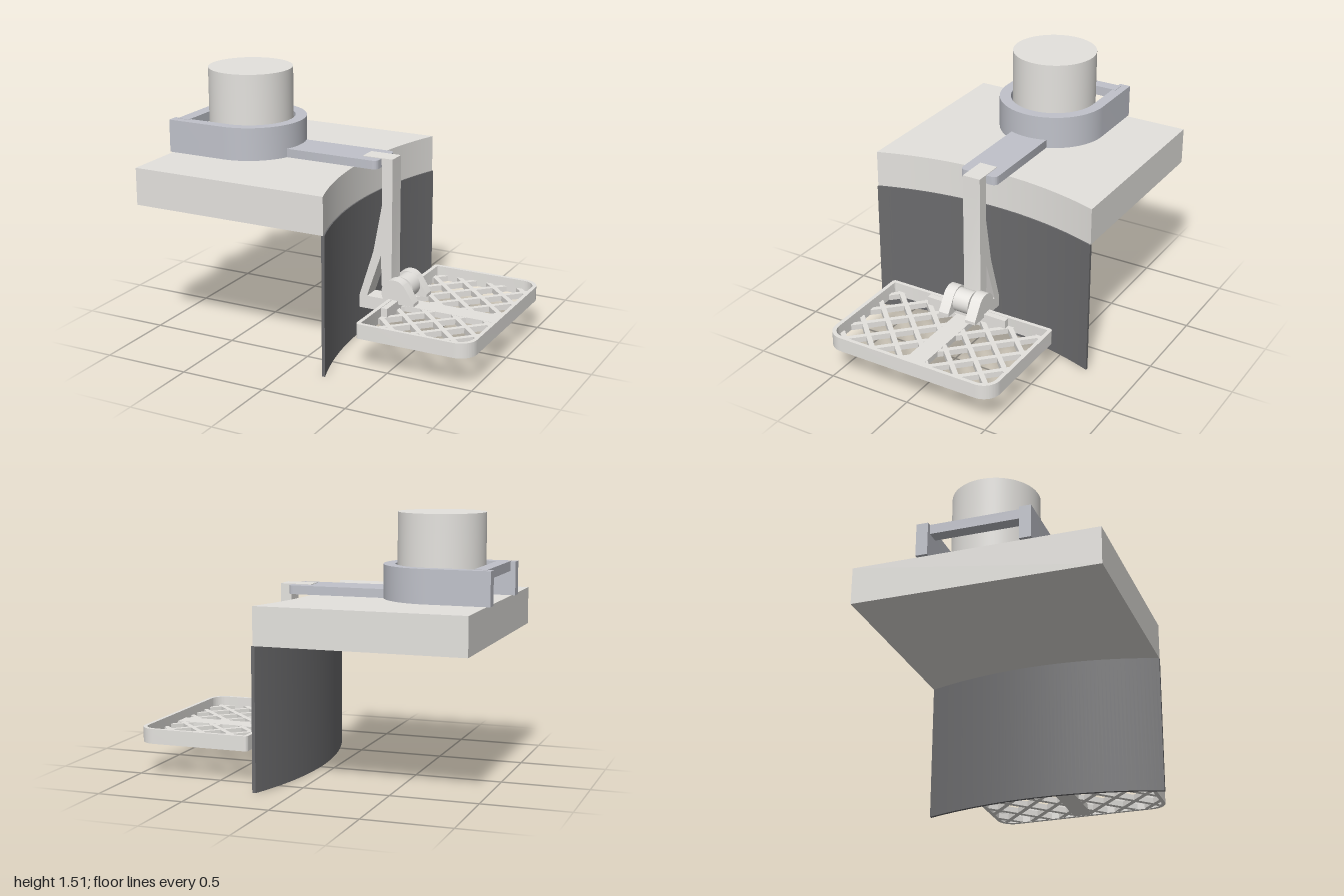
import * as THREE from 'three';
import { toCreasedNormals } from 'three/addons/utils/BufferGeometryUtils.js';

const mat = (name, color) => {
  const m = new THREE.MeshStandardMaterial({ color });
  m.name = name;
  return m;
};

export function createModel() {
  const light = mat('warm light grey', 0xe4e2de);
  const steel = mat('blue grey', 0xc0c2ca);
  const dark = mat('dark grey', 0x6b6b6d);
  const model = new THREE.Group();

  const add = (name, geo, material, parent = model) => {
    const mesh = new THREE.Mesh(geo, material);
    mesh.name = name;
    parent.add(mesh);
    return mesh;
  };
  const extrude = (shape, depth) =>
    new THREE.ExtrudeGeometry(shape, { depth, bevelEnabled: false, curveSegments: 32 });
  // plan outline raised from y0 to y1
  const plan = (shape, y0, y1) =>
    toCreasedNormals(extrude(shape, y1 - y0).rotateX(-Math.PI / 2).translate(0, y0, 0), 0.5);
  // side outline spread from z0 to z1
  const side = (shape, z0, z1) =>
    toCreasedNormals(extrude(shape, z1 - z0).translate(0, 0, z0), 0.5);
  const box = (x0, x1, y0, y1, z0, z1) =>
    new THREE.BoxGeometry(x1 - x0, y1 - y0, z1 - z0)
      .translate((x0 + x1) / 2, (y0 + y1) / 2, (z0 + z1) / 2);
  const poly = (pts) => new THREE.Shape(pts.map(([x, y]) => new THREE.Vector2(x, y)));
  // rectangle with separate corner radii on its left and right ends
  const roundRect = (x0, x1, h, rl, rr) => {
    const s = new THREE.Shape();
    s.moveTo(x0 + rl, -h);
    s.lineTo(x1 - rr, -h);
    s.absarc(x1 - rr, -h + rr, rr, -Math.PI / 2, 0, false);
    s.absarc(x1 - rr, h - rr, rr, 0, Math.PI / 2, false);
    s.absarc(x0 + rl, h - rl, rl, Math.PI / 2, Math.PI, false);
    s.absarc(x0 + rl, -h + rl, rl, Math.PI, Math.PI * 1.5, false);
    return s;
  };

  // thick slab with a concave end
  const R = 2.1, Ri = R + 0.018;
  const a = Math.asin(0.7 / R), ai = Math.asin(0.7 / Ri);
  const slab = new THREE.Shape();
  slab.moveTo(-0.98, -0.7);
  slab.lineTo(2.192 - R * Math.cos(a), -0.7);
  slab.absarc(2.192, 0, R, Math.PI + a, Math.PI - a, true);
  slab.lineTo(-0.98, 0.7);
  add('slab', plan(slab, 0.81, 1.027), light);

  // curved sheet hanging below the concave end
  const sheet = new THREE.Shape();
  sheet.absarc(2.2, 0, Ri, Math.PI - ai, Math.PI + ai, false);
  sheet.absarc(2.2, 0, R, Math.PI + a, Math.PI - a, true);
  add('curvedSheet', plan(sheet, 0, 0.81), dark);

  // round post
  add('post', new THREE.CylinderGeometry(0.247, 0.247, 0.483, 64).translate(-0.64, 1.2685, 0), light);

  // U-shaped clamp around the post
  const clamp = new THREE.Group();
  clamp.name = 'clamp';
  model.add(clamp);
  const u = new THREE.Shape();
  u.moveTo(-1, -0.325);
  u.lineTo(-0.64, -0.325);
  u.absarc(-0.64, 0, 0.325, -Math.PI / 2, Math.PI / 2, false);
  u.lineTo(-1, 0.325);
  u.lineTo(-1, 0.258);
  u.absarc(-0.64, 0, 0.258, Math.PI / 2, -Math.PI / 2, true);
  u.lineTo(-1, -0.258);
  add('clampYoke', plan(u, 1.027, 1.219), steel, clamp);
  add('clampCrossbar', box(-0.97, -0.895, 1.165, 1.2215, -0.28, 0.28), steel, clamp);
  add('clampTongue', plan(roundRect(-0.34, 0.238, 0.117, 0.005, 0.03), 1.027, 1.077), steel, clamp);

  // hanging arm with top hook, braced foot and triangular opening
  const arm = poly([[0.12, 1.04], [0.242, 1.04], [0.242, 0.8], [0.19, 0.52], [0.102, 0.24],
    [0.102, 0.163], [0.325, 0.163], [0.325, 0.24], [0.307, 0.38], [0.307, 1.08], [0.12, 1.08]]);
  arm.holes.push(poly([[0.238, 0.5], [0.15, 0.24], [0.285, 0.24], [0.245, 0.32]]));
  add('hangingArm', side(arm, -0.055, 0.055), light);

  // hinge: two ears on the tray, a knuckle on the arm and a pin
  const hinge = new THREE.Group();
  hinge.name = 'hinge';
  model.add(hinge);
  for (const s of [-1, 1]) {
    const ear = new THREE.Shape();
    ear.moveTo(0.478, 0.25);
    ear.lineTo(0.478, 0.268);
    ear.lineTo(0.355 + 0.08 * Math.cos(0.7), 0.31 + 0.08 * Math.sin(0.7));
    ear.absarc(0.355, 0.31, 0.08, 0.7, Math.PI * 1.2, false);
    ear.lineTo(0.325, 0.25);
    add('hingeEar', side(ear, s * 0.0885 - 0.0325, s * 0.0885 + 0.0325), light, hinge);
  }
  const barrel = (name, x, y, r, w) =>
    add(name, new THREE.CylinderGeometry(r, r, w, 40).rotateX(Math.PI / 2).translate(x, y, 0), light, hinge);
  barrel('hingeKnuckle', 0.37, 0.318, 0.07, 0.1);
  barrel('hingePin', 0.352, 0.31, 0.035, 0.2);

  // tray: rim, centre rib and thick inner edge
  const tray = new THREE.Group();
  tray.name = 'tray';
  model.add(tray);
  const rim = roundRect(0.32, 1, 0.537, 0.02, 0.1);
  rim.holes.push(roundRect(0.343, 0.978, 0.514, 0.01, 0.08));
  add('trayRim', plan(rim, 0.187, 0.273), light, tray);
  add('trayRib', box(0.34, 0.982, 0.188, 0.222, -0.058, 0.058), light, tray);
  add('trayInnerEdge', box(0.335, 0.38, 0.188, 0.271, -0.26, 0.26), light, tray);

  // diagonal lattice, clipped to each half of the tray and its rounded corners
  const x0 = 0.335, x1 = 0.982, z0 = 0.05, z1 = 0.52, pitch = 0.19, corner = 1.455;
  for (const s of [-1, 1]) for (const d of [-1, 1]) for (let k = -5; k < 6; k++) {
    // bar follows x = base + d * z
    const base = 0.54 + pitch * k - d * 0.085;
    if (d < 0 && base > corner) continue;
    const za = (x0 - base) / d, zb = (x1 - base) / d;
    const lo = Math.max(z0, Math.min(za, zb));
    const hi = Math.min(z1, Math.max(za, zb), d > 0 ? (corner - base) / 2 : z1);
    if (hi - lo < 0.02) continue;
    const mid = (lo + hi) / 2;
    const bar = add('latticeBar',
      new THREE.BoxGeometry((hi - lo) * Math.SQRT2, 0.033, 0.029), light, tray);
    bar.position.set(base + d * mid, 0.2045, s * mid);
    bar.rotation.y = -s * d * Math.PI / 4;
  }
  return model;
}
